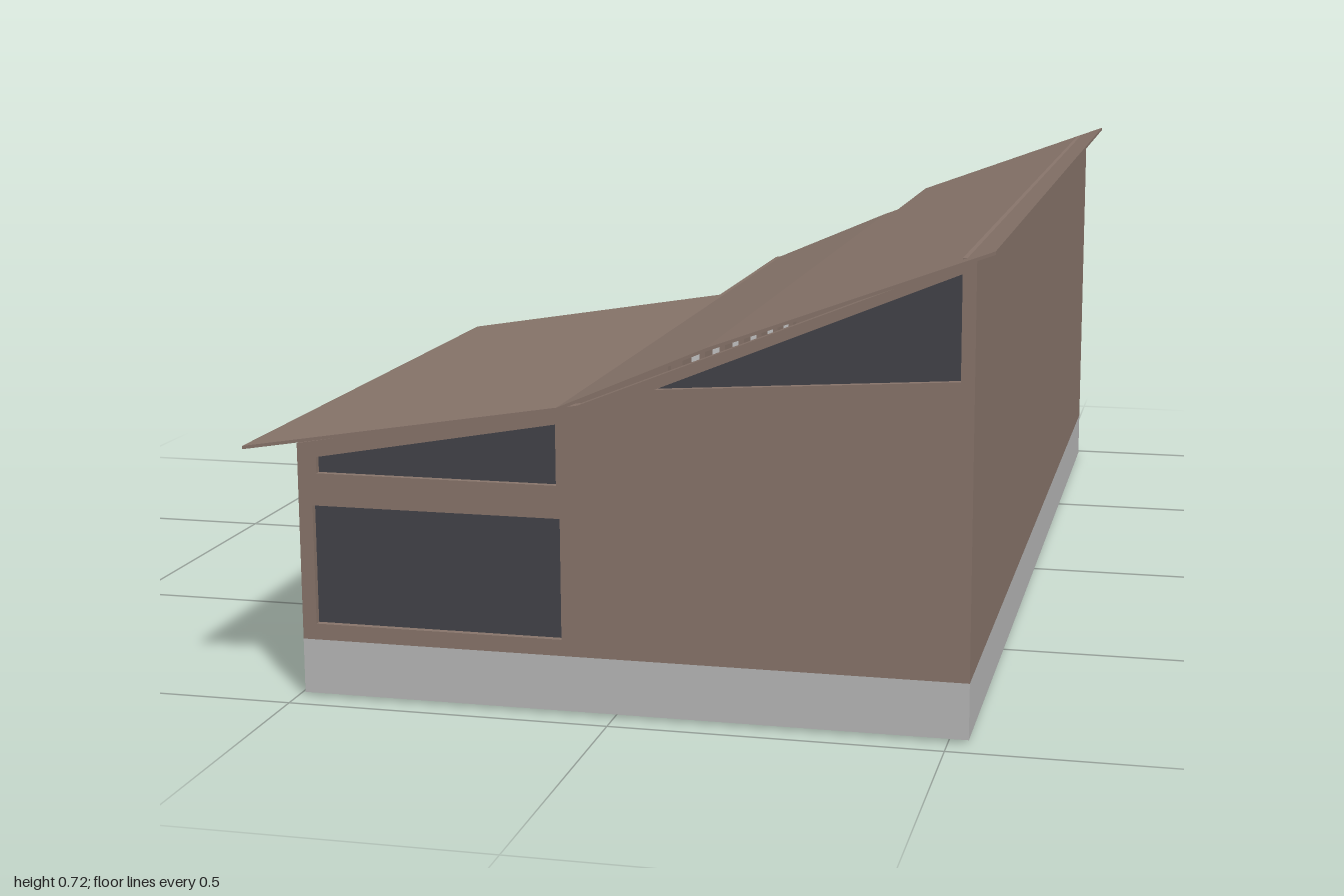
import * as THREE from 'three';

const material = (name, color, side = THREE.FrontSide) => {
  const m = new THREE.MeshStandardMaterial({ color, side });
  m.name = name;
  return m;
};

const shapeOf = (pts) => new THREE.Shape(pts.map(([a, b]) => new THREE.Vector2(a, b)));
const rect = (a, b, y0, y1) => [[a, y0], [b, y0], [b, y1], [a, y1]];

// Height of a polyline [x, y] at x
function heightAt(line, x) {
  let i = 0;
  while (i < line.length - 2 && x > line[i + 1][0]) i++;
  const [[x0, y0], [x1, y1]] = [line[i], line[i + 1]];
  return y0 + ((x - x0) / (x1 - x0)) * (y1 - y0);
}

// The part of a polyline between two x values
const clip = (line, a, b) => [
  [a, heightAt(line, a)], ...line.filter(([x]) => x > a && x < b), [b, heightAt(line, b)],
];

const BASE = 0.09;
const WALL_TOP = [[-0.49, 0.395], [-0.05, 0.472], [0.53, 0.706]];
const ROOF_TOP = [[-0.56, 0.396], [-0.07, 0.476], [0.15, 0.571], [0.56, 0.722]];

// Facing directions: rotation about y, and sign of the wall's own axis
const FACING = {
  front: [0, 1], back: [Math.PI, -1], left: [Math.PI / 2, -1], right: [-Math.PI / 2, 1],
};

export function createModel() {
  const model = new THREE.Group();
  model.name = 'house';
  const brown = material('brown cladding', 0x87746a);
  const grey = material('grey concrete', 0xb6b6b6);
  const dark = material('dark glass', 0x424248, THREE.DoubleSide);
  const pale = material('pale panel', 0xcccccc, THREE.DoubleSide);

  const add = (name, geometry, mat, parent = model) => {
    const mesh = new THREE.Mesh(geometry, mat);
    mesh.name = name;
    parent.add(mesh);
    return mesh;
  };

  // Wall with recessed panes; openings are { pts, mat }
  const wall = (name, facing, distance, outline, openings = []) => {
    const [turn, sign] = FACING[facing];
    const group = new THREE.Group();
    group.name = name;
    group.rotation.y = turn;
    model.add(group);
    const flip = (pts) => pts.map(([u, y]) => [u * sign, y]);
    const shape = shapeOf(flip(outline));
    openings.forEach(({ pts }) => shape.holes.push(shapeOf(flip(pts))));
    const panel = new THREE.ExtrudeGeometry(shape, { depth: 0.02, bevelEnabled: false });
    add(name + 'Panel', panel, brown, group).position.z = distance - 0.02;
    openings.forEach(({ pts, mat }) => {
      add('pane', new THREE.ShapeGeometry(shapeOf(flip(pts))), mat, group).position.z = distance - 0.01;
    });
  };

  // Gable outline between two x values
  const gable = (a, b, bottom = BASE) => [[b, bottom], [a, bottom], ...clip(WALL_TOP, a, b)];

  // Concrete base with a brown underside
  const plan = [[-0.49, 0.96], [0.53, 0.96], [0.53, -0.96], [0.193, -0.96],
    [0.193, -0.563], [-0.045, -0.563], [-0.045, 0.43], [-0.49, 0.43]];
  const base = new THREE.ExtrudeGeometry(shapeOf(plan.map(([x, z]) => [x, -z])),
    { depth: BASE - 0.005, bevelEnabled: false });
  base.rotateX(-Math.PI / 2).translate(0, 0.005, 0);
  add('base', base, [brown, grey]);

  // Front wall with the large window and two sloping clerestories
  const lowClerestory = [[-0.46, 0.35], [-0.085, 0.35], [-0.085, 0.442], [-0.46, 0.375]];
  wall('frontWall', 'front', 0.96, gable(-0.49, 0.53), [
    { pts: rect(-0.468, -0.08, 0.115, 0.3), mat: dark },
    { pts: lowClerestory, mat: dark },
    { pts: [[0.065, 0.5], [0.51, 0.53], [0.51, 0.683]], mat: dark },
  ]);

  // Tall plain side wall
  wall('tallSideWall', 'left', 0.53, rect(-0.96, 0.96, BASE, 0.706));

  // Back walls, stepping in plan
  wall('backWall', 'back', 0.96, gable(0.193, 0.53), [
    { pts: [[0.275, 0.572], [0.51, 0.565], [0.51, 0.672]], mat: dark },
  ]);
  wall('middleBackWall', 'back', 0.563, gable(-0.045, 0.193));
  wall('porchBackWall', 'back', -0.43, gable(-0.49, -0.045), [
    { pts: rect(-0.372, -0.08, 0.095, 0.3), mat: pale },
  ]);

  // Low side wall with its wide window
  wall('lowSideWall', 'right', 0.49, rect(0.43, 0.96, BASE, 0.395), [
    { pts: rect(0.465, 0.935, 0.11, 0.31), mat: dark },
  ]);

  // Long side wall with two rows of windows
  const longWindows = [];
  for (let i = 0; i < 6; i++) {
    const z = -0.506 + i * 0.155;
    longWindows.push({ pts: rect(z, z + 0.097, 0.135, 0.28), mat: pale });
    longWindows.push({ pts: rect(z, z + 0.097, 0.305, 0.44), mat: pale });
  }
  wall('longSideWall', 'right', 0.045, rect(-0.563, 0.43, BASE, 0.474), longWindows);

  // Rear side wall with a wide door and three small windows
  const rearOpenings = [-0.902, -0.786, -0.662].map((z) => (
    { pts: rect(z, z + 0.077, 0.38, 0.492), mat: dark }));
  rearOpenings.push({ pts: rect(-0.864, -0.66, 0.095, 0.252), mat: pale });
  wall('rearSideWall', 'right', -0.193, rect(-0.96, -0.563, BASE, 0.57), rearOpenings);

  // Porch gable carried by a pillar
  wall('porchGable', 'back', 0.045, gable(-0.49, -0.045, 0.325), [{ pts: lowClerestory, mat: dark }]);
  const pillar = new THREE.BoxGeometry(0.055, 0.34, 0.065);
  add('pillar', pillar, grey).position.set(-0.4525, 0.17, -0.0125);

  // Thin roof in three bays of growing length
  [[-0.56, -0.08, -0.08], [-0.08, 0.175, -0.6], [0.175, 0.56, -1]].forEach(([a, b, zBack]) => {
    const top = clip(ROOF_TOP, a, b);
    const under = top.map(([x, y]) => [x, y - 0.005]).reverse();
    const bay = new THREE.ExtrudeGeometry(shapeOf([...top, ...under]),
      { depth: 1 - zBack, bevelEnabled: false });
    add('roofBay', bay, brown).position.z = zBack;
  });

  return model;
}
